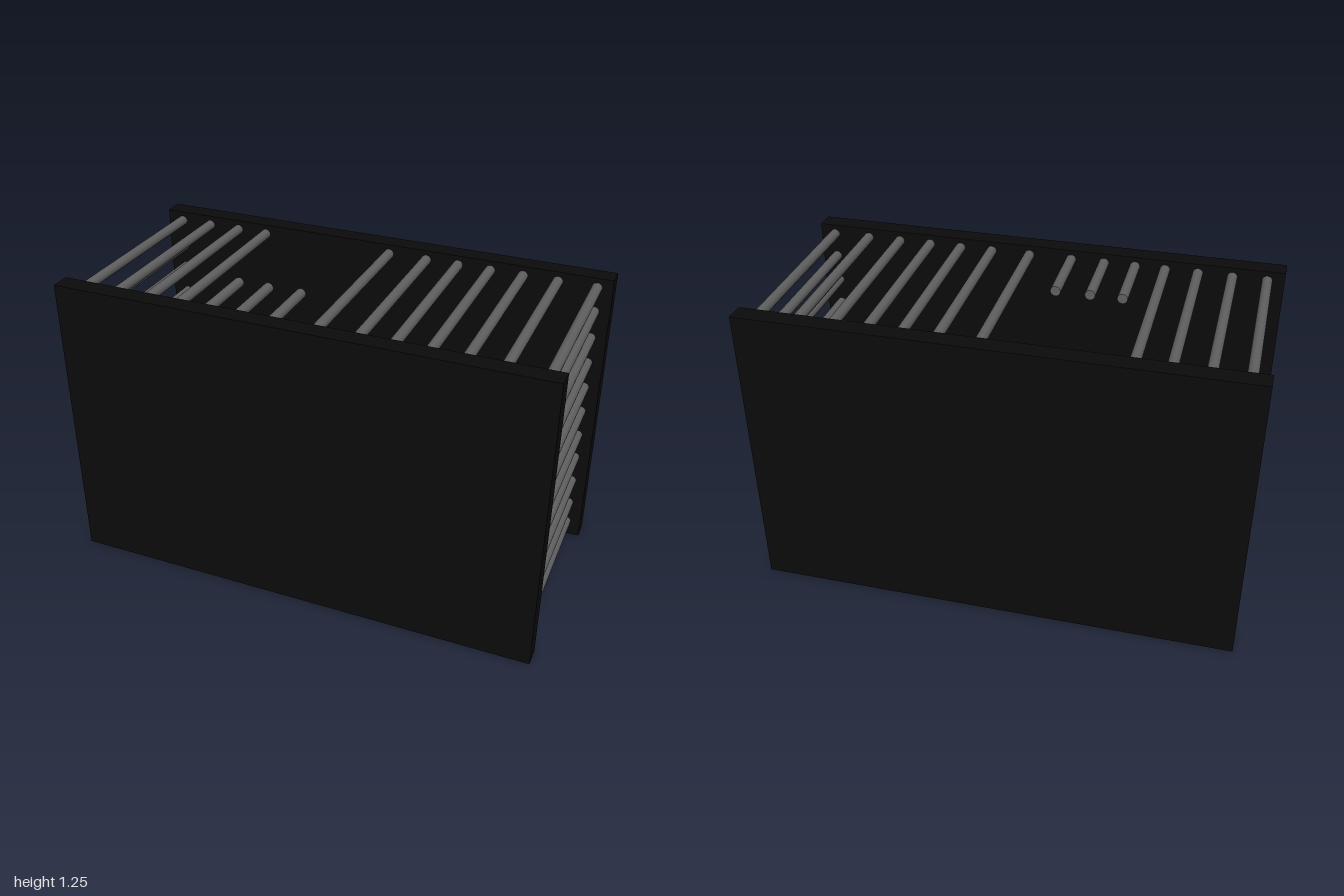
import * as THREE from 'three';

const HEIGHT = 1.25;
const PANEL = 0.08;
const INNER = 0.4; // inner faces of the two panels
const RADIUS = 0.021;

// bar centres around the rim of the cage
const TOP_Y = 1.21, BOTTOM_Y = 0.067, SIDE_LEFT = 0.937, SIDE_RIGHT = -0.93;
const topX = [SIDE_RIGHT, -0.79, -0.65, -0.515, 0.06, 0.225, 0.363, 0.5, 0.637, 0.78, SIDE_LEFT];
const brokenX = [-0.39, -0.26, -0.12];
const bottomX = [SIDE_RIGHT, -0.735, -0.55, -0.335, -0.148, 0.05, 0.325, 0.535, 0.77, SIDE_LEFT];
const leftY = [0.169, 0.288, 0.41, 0.523, 0.642, 0.758, 0.874, 0.988, 1.106];
const rightY = [0.195, 0.324, 0.43, 0.546, 0.652, 0.748, 0.864, 0.988, 1.09];

export function createModel() {
  const cage = new THREE.Group();
  cage.name = 'cage';
  const panelMat = new THREE.MeshStandardMaterial({ color: 0x0b0b0b });
  const barMat = new THREE.MeshStandardMaterial({ color: 0x606060 });

  // solid panels at front and back
  const panelGeo = new THREE.BoxGeometry(2, HEIGHT, PANEL);
  for (const [name, s] of [['frontPanel', 1], ['backPanel', -1]]) {
    const panel = new THREE.Mesh(panelGeo, panelMat);
    panel.name = name;
    panel.position.set(0, HEIGHT / 2, s * (INNER + PANEL / 2));
    cage.add(panel);
  }

  const barGeometry = (z0, z1) =>
    new THREE.CylinderGeometry(RADIUS, RADIUS, z1 - z0, 24)
      .rotateX(Math.PI / 2)
      .translate(0, 0, (z0 + z1) / 2);

  const addBars = (name, geometry, centres) => {
    const row = new THREE.Group();
    row.name = name;
    for (const [x, y] of centres) {
      const bar = new THREE.Mesh(geometry, barMat);
      bar.name = 'bar';
      bar.position.set(x, y, 0);
      row.add(bar);
    }
    cage.add(row);
  };

  // full bars from panel to panel
  const fullBar = barGeometry(-INNER, INNER);
  addBars('topBars', fullBar, topX.map((x) => [x, TOP_Y]));
  addBars('bottomBars', fullBar, bottomX.map((x) => [x, BOTTOM_Y]));
  addBars('leftBars', fullBar, leftY.map((y) => [SIDE_LEFT, y]));
  addBars('rightBars', fullBar, rightY.map((y) => [SIDE_RIGHT, y]));

  // short stubs around the opening in the top
  addBars('brokenBars', barGeometry(0.1, INNER), brokenX.map((x) => [x, TOP_Y]));

  return cage;
}
